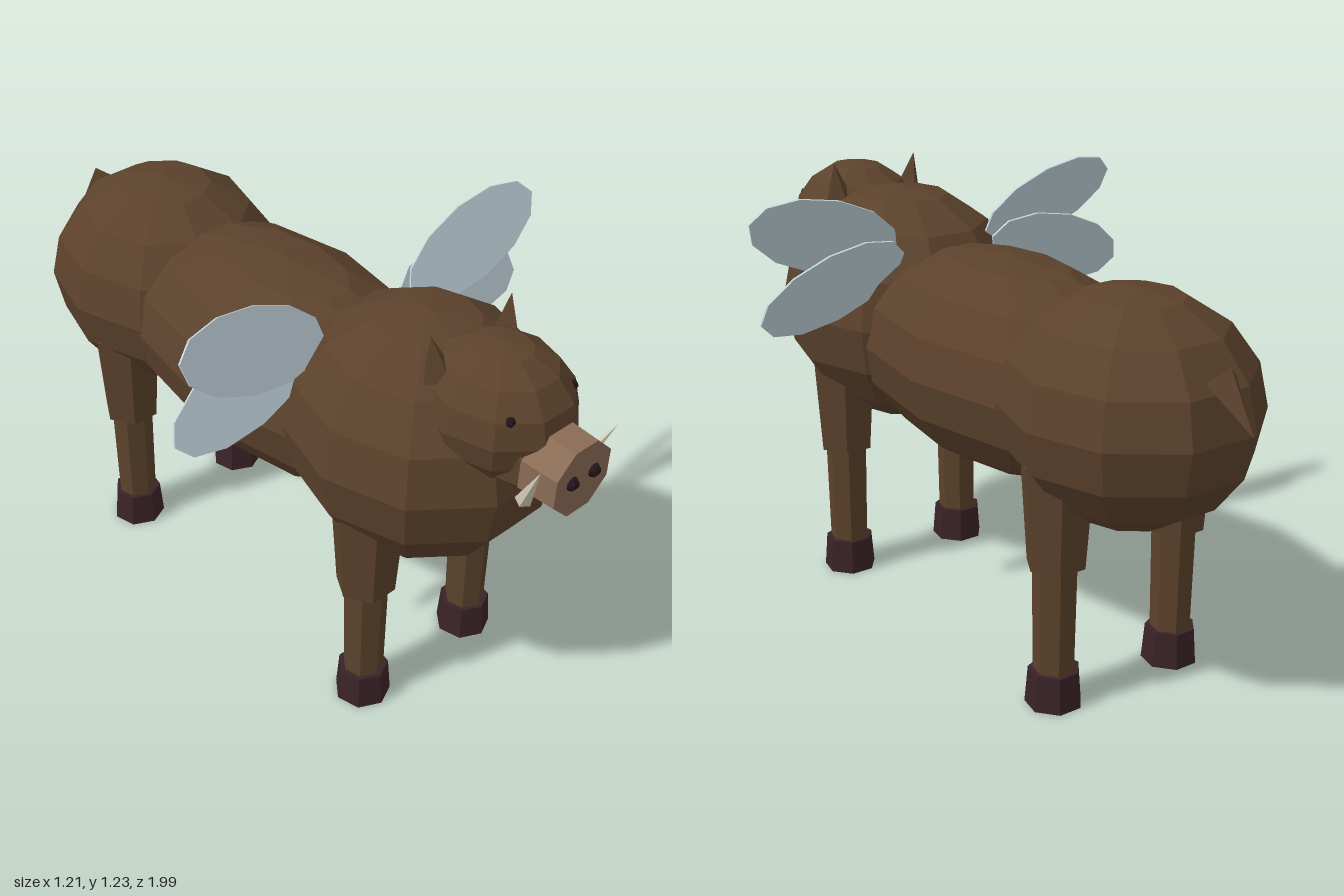
import * as THREE from 'three';

const material = (name, color) => {
  const m = new THREE.MeshStandardMaterial({ color, flatShading: true });
  m.name = name;
  return m;
};

export function createModel() {
  const hide = material('brown hide', 0x5c422c);
  const snoutSkin = material('snout skin', 0x8a6c55);
  const hoofHorn = material('dark hoof', 0x3a2328);
  const ivory = material('ivory', 0xd8d0b8);
  const dark = material('eye and nostril', 0x24141a);
  const wingBlue = material('pale wing', 0xc2d4dc);

  const model = new THREE.Group();
  model.name = 'wingedBoar';

  const add = (name, geometry, mat, position = [0, 0, 0], parent = model) => {
    const mesh = new THREE.Mesh(geometry, mat);
    mesh.name = name;
    mesh.position.set(...position);
    parent.add(mesh);
    return mesh;
  };

  // Faceted ellipsoid
  const blob = (name, position, radii, mat = hide, sides = 10, rings = 8) =>
    add(name, new THREE.SphereGeometry(1, sides, rings).scale(...radii), mat, position);

  // Tapered prism running from point a to point b
  const taper = (name, a, b, ra, rb, sides, mat, turn = 0, parent = model) => {
    const from = new THREE.Vector3(...a), to = new THREE.Vector3(...b);
    const dir = to.clone().sub(from);
    const geometry = new THREE.CylinderGeometry(rb, ra, dir.length(), sides).rotateY(turn);
    const mesh = add(name, geometry, mat, from.add(to).multiplyScalar(0.5).toArray(), parent);
    mesh.quaternion.setFromUnitVectors(new THREE.Vector3(0, 1, 0), dir.normalize());
    return mesh;
  };

  // Body masses
  blob('chest', [0, 0.82, 0.47], [0.345, 0.345, 0.375]);
  blob('barrel', [0, 0.775, -0.06], [0.32, 0.295, 0.6]);
  blob('rump', [0, 0.79, -0.57], [0.33, 0.31, 0.355]);

  // Head, muzzle and snout
  blob('head', [0, 1.015, 0.71], [0.185, 0.18, 0.212]);
  taper('muzzle', [0, 0.96, 0.78], [0, 0.945, 0.9], 0.13, 0.1, 8, hide, Math.PI / 8);
  taper('snout', [0, 0.948, 0.875], [0, 0.945, 0.982], 0.107, 0.102, 8, snoutSkin, Math.PI / 8);

  for (const side of [-1, 1]) {
    const label = side > 0 ? 'left' : 'right';

    // Face details
    blob(label + 'Eye', [side * 0.108, 1.085, 0.842], [0.014, 0.014, 0.014], dark, 6, 4);
    blob(label + 'Nostril', [side * 0.038, 0.952, 0.982], [0.019, 0.019, 0.018], dark, 6, 5);
    taper(label + 'Tusk', [side * 0.09, 0.875, 0.89], [side * 0.135, 1.025, 0.965], 0.022, 0, 5, ivory);
    taper(label + 'Ear', [side * 0.118, 1.1, 0.62], [side * 0.138, 1.217, 0.61], 0.045, 0, 4, hide);

    // Legs with hooves
    for (const [end, z] of [['Front', 0.487], ['Back', -0.53]]) {
      const leg = new THREE.Group();
      leg.name = label + end + 'Leg';
      leg.position.set(side * 0.2, 0, z);
      model.add(leg);
      taper('upperLeg', [0, 0.395, 0], [0, 0.68, 0], 0.08, 0.1, 6, hide, Math.PI / 2, leg);
      taper('lowerLeg', [0, 0.1, 0], [0, 0.42, 0], 0.056, 0.061, 7, hide, 0, leg);
      taper('hoof', [0, 0, 0], [0, 0.1, 0], 0.077, 0.069, 7, hoofHorn, 0, leg);
    }

    // Paired wings: thin ovals leaning back, fanned up and down
    for (const [row, y, z, roll] of [['Upper', 1.105, 0.262, 0.28], ['Lower', 0.97, 0.225, -0.28]]) {
      const oval = new THREE.CylinderGeometry(1, 1, 0.006, 12)
        .rotateX(Math.PI / 2)
        .scale(0.235, 0.11, 1);
      const wing = add(label + row + 'Wing', oval, wingBlue, [side * 0.377, y, z]);
      wing.rotation.set(-0.31, 0, side * roll, 'ZYX');
    }
  }

  // Short pointed tail
  taper('tail', [0, 0.945, -0.88], [0, 0.835, -0.998], 0.05, 0, 4, hide);

  return model;
}
